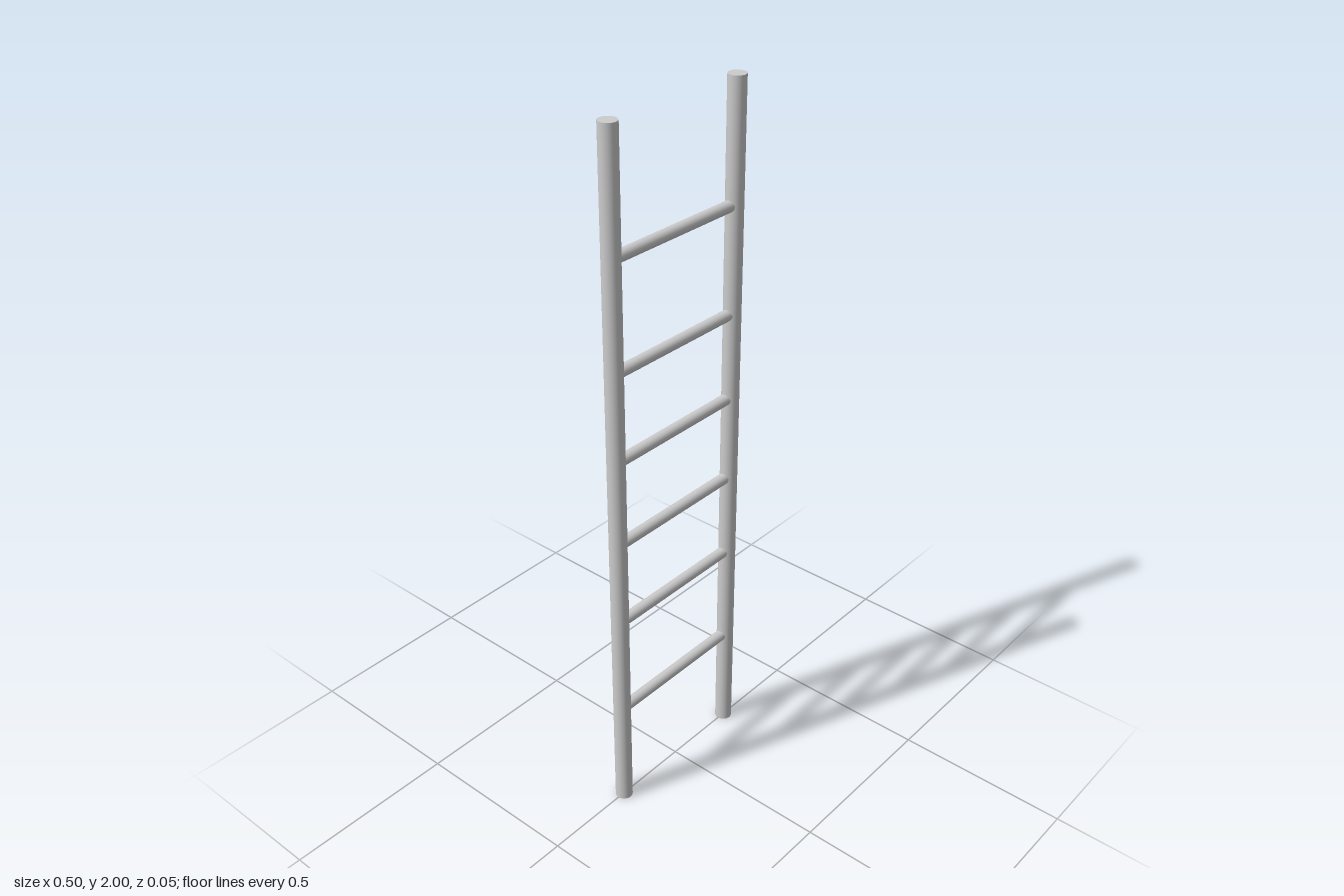
import * as THREE from 'three';

const RAIL_X = 0.226;
const RAIL_RADIUS = 0.0245;
const RUNG_RADIUS = 0.016;
const RUNG_HEIGHTS = [0.32, 0.62, 0.87, 1.12, 1.37, 1.67];

export function createModel() {
  const ladder = new THREE.Group();
  ladder.name = 'ladder';
  const material = new THREE.MeshStandardMaterial({ color: 0xcccccc });

  // Two upright round rails
  const railGeometry = new THREE.CylinderGeometry(RAIL_RADIUS, RAIL_RADIUS, 2, 32);
  for (const [name, side] of [['leftRail', 1], ['rightRail', -1]]) {
    const rail = new THREE.Mesh(railGeometry, material);
    rail.name = name;
    rail.position.set(side * RAIL_X, 1, 0);
    ladder.add(rail);
  }

  // Round rungs, let into the rails at both ends
  const rungGeometry = new THREE.CylinderGeometry(RUNG_RADIUS, RUNG_RADIUS, RAIL_X * 2, 32);
  rungGeometry.rotateZ(Math.PI / 2);
  RUNG_HEIGHTS.forEach((y, i) => {
    const rung = new THREE.Mesh(rungGeometry, material);
    rung.name = `rung${i + 1}`;
    rung.position.y = y;
    ladder.add(rung);
  });

  return ladder;
}
